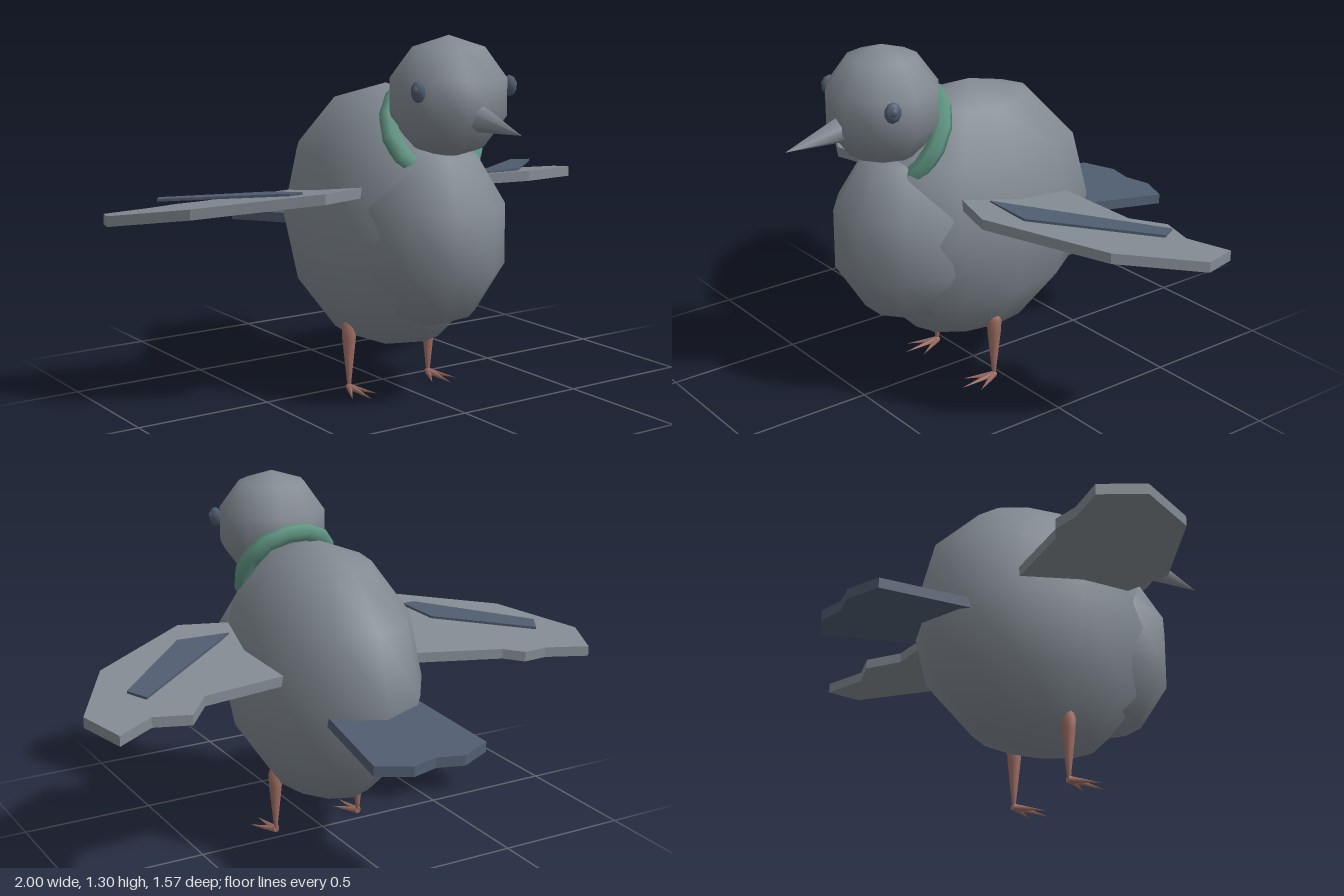
import * as THREE from 'three';

const mat = (name, color) => {
  const m = new THREE.MeshStandardMaterial({ color });
  m.name = name;
  return m;
};

export function createModel() {
  const grey = mat('plumage grey', 0x828a92);
  const slate = mat('slate blue', 0x505d70);
  const green = mat('neck green', 0x5f9482);
  const pink = mat('leg pink', 0x9c6c62);
  const bird = new THREE.Group();
  bird.name = 'bird';

  const add = (name, geometry, material, x = 0, y = 0, z = 0) => {
    const mesh = new THREE.Mesh(geometry, material);
    mesh.name = name;
    mesh.position.set(x, y, z);
    bird.add(mesh);
    return mesh;
  };

  const ball = (name, material, w, h, [rx, ry, rz], [x, y, z]) =>
    add(name, new THREE.SphereGeometry(1, w, h), material, x, y, z).scale.set(rx, ry, rz);

  // Tapered spike from one point to another
  const spike = (name, material, from, to, radius, sides) => {
    const a = new THREE.Vector3(...from), d = new THREE.Vector3(...to).sub(a);
    const len = d.length();
    const g = new THREE.ConeGeometry(radius, len, sides).translate(0, len / 2, 0);
    const mesh = add(name, g, material, ...from);
    mesh.quaternion.setFromUnitVectors(new THREE.Vector3(0, 1, 0), d.normalize());
  };

  // Flat plate from an (x, z) outline; topY(x, z) tilts the upper face
  const plate = (name, material, outline, thickness, side, topY) => {
    const shape = new THREE.Shape(outline.map(([x, z]) => new THREE.Vector2(side * x, -z)));
    const g = new THREE.ExtrudeGeometry(shape, { depth: thickness, bevelEnabled: false });
    g.rotateX(-Math.PI / 2);
    const p = g.attributes.position;
    for (let i = 0; i < p.count; i++) {
      p.setY(i, p.getY(i) - thickness + topY(Math.abs(p.getX(i)), p.getZ(i)));
    }
    g.computeVertexNormals();
    add(name, g, material);
  };

  // Body, breast and head
  ball('body', grey, 12, 6, [0.33, 0.485, 0.49], [0, 0.625, 0.02]);
  ball('breast', grey, 10, 5, [0.268, 0.345, 0.3], [0, 0.605, 0.283]);
  ball('head', grey, 10, 5, [0.21, 0.21, 0.21], [0, 1.09, 0.39]);
  spike('beak', grey, [0, 1.033, 0.56], [0, 0.998, 0.78], 0.048, 6);

  // Neck band, tilted back
  const band = add('neckBand', new THREE.TorusGeometry(0.18, 0.035, 6, 14), green, 0, 0.955, 0.295);
  band.rotation.x = -0.585;
  band.scale.x = 0.95;

  // Tail fan
  plate('tail', slate,
    [[-0.18, -0.35], [0.18, -0.35], [0.22, -0.73], [0.1, -0.785], [0, -0.76], [-0.1, -0.785], [-0.22, -0.73]],
    0.037, 1, (x, z) => 0.595 + 0.105 * (z + 0.35));

  // Wings: shared leading edge, slightly different trailing feathers
  const leading = [[0.94, -0.36], [1, -0.2], [0.83, 0.08], [0.44, 0.3], [0.2, 0.23], [0.2, -0.205]];
  const trailing = {
    left: [[0.58, -0.23], [0.67, -0.33], [0.8, -0.29]],
    right: [[0.6, -0.283], [0.67, -0.33], [0.77, -0.32]],
  };
  const stripeInner = {
    left: [[0.3, 0.16]],
    right: [[0.45, 0.17], [0.48, 0.015]],
  };

  for (const [label, s] of [['left', 1], ['right', -1]]) {
    plate(label + 'Wing', grey, [...leading, ...trailing[label]], 0.037, s,
      (x, z) => 0.753 + 0.15 * z - 0.03 * x);
    plate(label + 'WingStripe', slate,
      [...stripeInner[label], [0.79, -0.23], [0.83, -0.16], [0.5, 0.17]], 0.009, s,
      (x, z) => 0.757 + 0.1 * z);

    // Eye with a small raised pupil
    ball(label + 'Eye', slate, 6, 5, [0.022, 0.037, 0.032], [s * 0.193, 1.125, 0.48]);
    ball(label + 'Pupil', slate, 6, 4, [0.01, 0.015, 0.015], [s * 0.208, 1.13, 0.485]);

    // Leg with rounded thigh
    const profile = [[0, 0.012], [0.007, 0.02], [0.025, 0.19], [0.027, 0.235], [0.017, 0.262], [0, 0.27]]
      .map(([r, y]) => new THREE.Vector2(r, y));
    add(label + 'Leg', new THREE.LatheGeometry(profile, 8), pink, s * 0.178, 0, 0.042);

    // Three forward toes
    for (const [dx, z] of [[-0.055, 0.145], [0, 0.19], [0.055, 0.145]]) {
      spike(label + 'Toe', pink, [s * 0.178, 0.013, 0.04], [s * 0.178 + dx, 0.002, z], 0.013, 5);
    }
  }
  return bird;
}
